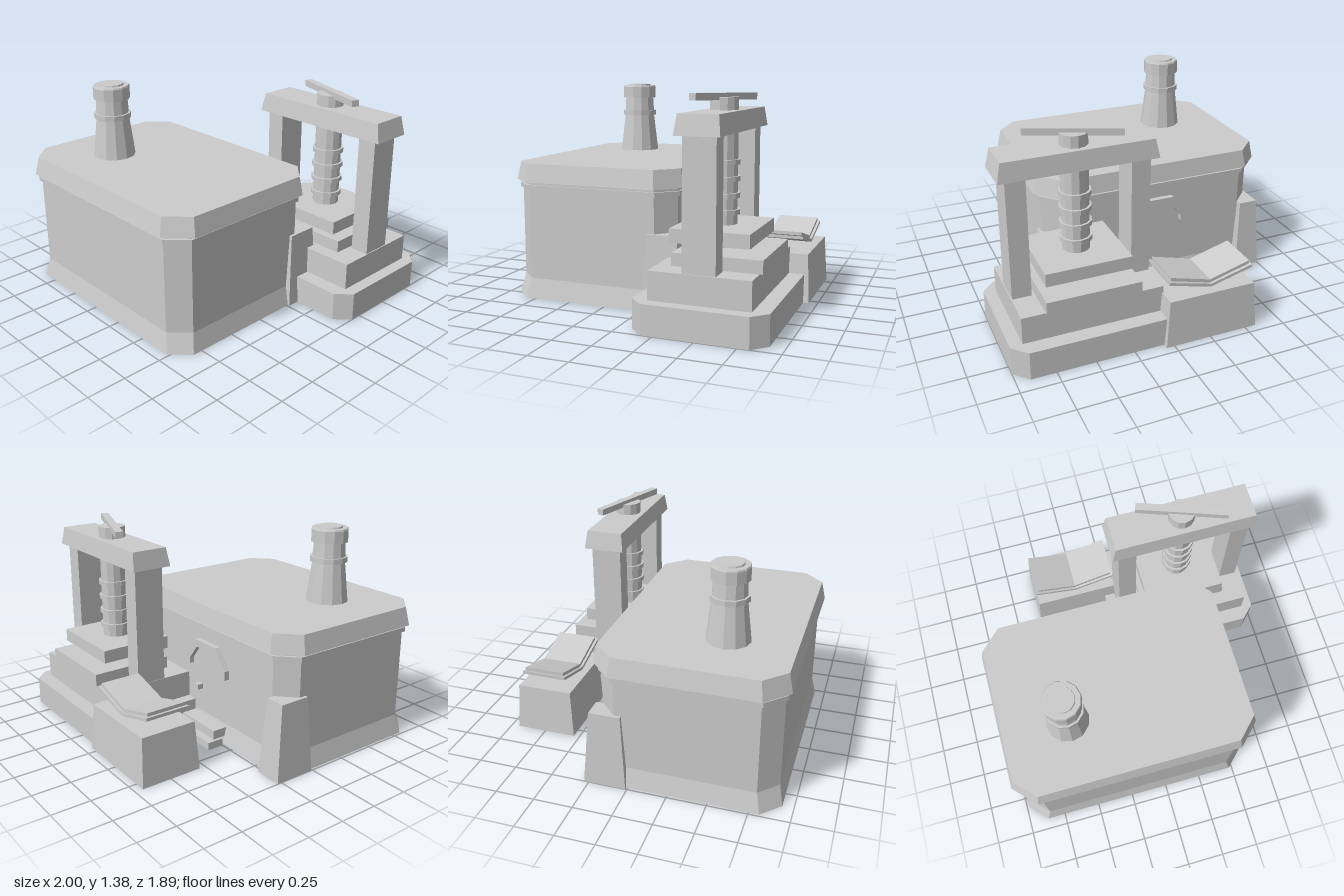
import * as THREE from 'three';

// Double-sided because several parts are open underneath
const stone = new THREE.MeshStandardMaterial({ color: 0xcccccc, side: THREE.DoubleSide });
stone.name = 'stone grey';

function add(parent, name, geometry, x = 0, y = 0, z = 0) {
  const g = geometry.index ? geometry.toNonIndexed() : geometry;
  g.computeVertexNormals();
  const mesh = new THREE.Mesh(g, stone);
  mesh.name = name;
  mesh.position.set(x, y, z);
  parent.add(mesh);
  return mesh;
}

// Rectangle outline with cut corners, counterclockwise from above
function outline([y, x0, x1, z0, z1, c = 0]) {
  const p = c
    ? [[x1 - c, z0], [x0 + c, z0], [x0, z0 + c], [x0, z1 - c],
       [x0 + c, z1], [x1 - c, z1], [x1, z1 - c], [x1, z0 + c]]
    : [[x1, z0], [x0, z0], [x0, z1], [x1, z1]];
  return p.map(([x, z]) => [x, y, z]);
}

// Solid through a list of sections [y, x0, x1, z0, z1, corner cut]
function stack(sections, { bottom = true, top = true } = {}) {
  const rings = sections.map(outline);
  const n = rings[0].length;
  const pos = [];
  const tri = (a, b, c) => pos.push(...a, ...b, ...c);
  for (let r = 0; r < rings.length - 1; r++) {
    const lo = rings[r], hi = rings[r + 1];
    for (let i = 0; i < n; i++) {
      const j = (i + 1) % n;
      tri(lo[i], lo[j], hi[j]);
      tri(lo[i], hi[j], hi[i]);
    }
  }
  const first = rings[0], last = rings[rings.length - 1];
  for (let i = 1; i < n - 1; i++) {
    if (bottom) tri(first[0], first[i + 1], first[i]);
    if (top) tri(last[0], last[i], last[i + 1]);
  }
  const g = new THREE.BufferGeometry();
  g.setAttribute('position', new THREE.Float32BufferAttribute(pos, 3));
  return g;
}

const block = (y0, y1, x0, x1, z0, z1, c = 0, caps = {}) =>
  stack([[y0, x0, x1, z0, z1, c], [y1, x0, x1, z0, z1, c]], caps);

const shapeOf = (points) => new THREE.Shape(points.map(([x, y]) => new THREE.Vector2(x, y)));
const flat = (points) => new THREE.ShapeGeometry(shapeOf(points));
const plate = (points, depth) =>
  new THREE.ExtrudeGeometry(shapeOf(points), { depth, bevelEnabled: false });

// Window panel with cut corners, centred on the origin
function windowPanel(w, h, c) {
  const a = w / 2, b = h / 2;
  return flat([[-a + c, -b], [a - c, -b], [a, -b + c], [a, b - c],
    [a - c, b], [-a + c, b], [-a, b - c], [-a, -b + c]]);
}

function createHouse() {
  const house = new THREE.Group();
  house.name = 'house';
  const openBelow = { bottom: false };
  // Open skirt below a raised floor
  add(house, 'skirt', stack([
    [0, -0.985, 0.597, -0.23, 0.93, 0.115],
    [0.13, -0.955, 0.567, -0.2, 0.905, 0.115]], { bottom: false, top: false }));
  add(house, 'walls', block(0.13, 0.78, -0.955, 0.567, -0.2, 0.905, 0.115));
  add(house, 'belt', block(0.72, 0.75, -0.97, 0.582, -0.215, 0.92, 0.12));
  add(house, 'roof', stack([
    [0.77, -1, 0.61, -0.24, 0.94, 0.14],
    [0.89, -0.975, 0.585, -0.22, 0.915, 0.13]]));

  // Rear corner buttresses
  add(house, 'leftButtress', stack([
    [0, 0.43, 0.61, -0.28, -0.01], [0.49, 0.455, 0.585, -0.24, -0.04]], openBelow));
  add(house, 'rightButtress', stack([
    [0, -1, -0.82, -0.28, -0.01], [0.49, -0.975, -0.845, -0.24, -0.04]], openBelow));

  // Side and rear windows
  for (const z of [0.55, 0.16]) {
    add(house, 'leftWindow', windowPanel(0.22, 0.25, 0.04), 0.571, 0.445, z).rotation.y = Math.PI / 2;
    add(house, 'rightWindow', windowPanel(0.22, 0.25, 0.04), -0.959, 0.445, z).rotation.y = -Math.PI / 2;
  }
  add(house, 'rearWindow', windowPanel(0.24, 0.3, 0.04), -0.675, 0.51, -0.204).rotation.y = Math.PI;

  // Rear doorway with hood, knob and steps
  const doorway = new THREE.Group();
  doorway.name = 'doorway';
  doorway.position.set(-0.21, 0, -0.2);
  doorway.rotation.y = Math.PI;
  house.add(doorway);
  add(doorway, 'door', flat([[-0.19, 0.13], [0.19, 0.13], [0.19, 0.5],
    [0.1, 0.6], [-0.1, 0.6], [-0.19, 0.5]]), 0, 0, 0.004);
  add(doorway, 'doorHood', plate([[-0.21, 0.45], [-0.17, 0.45], [-0.17, 0.49], [-0.09, 0.59],
    [0.09, 0.59], [0.17, 0.49], [0.17, 0.45], [0.21, 0.45], [0.21, 0.51],
    [0.11, 0.64], [-0.11, 0.64], [-0.21, 0.51]], 0.035));
  add(doorway, 'doorKnob', new THREE.BoxGeometry(0.045, 0.035, 0.045), -0.09, 0.31, 0.02);
  add(house, 'lowerStep', block(0, 0.05, -0.42, -0.05, -0.36, -0.25));
  add(house, 'upperStep', block(0.05, 0.11, -0.4, -0.05, -0.305, -0.2));

  // Chimney
  const profile = [[0, 0.88], [0.14, 0.88], [0.108, 1.15], [0.122, 1.15], [0.122, 1.185],
    [0.108, 1.185], [0.102, 1.28], [0.12, 1.28], [0.12, 1.36], [0.115, 1.37],
    [0.083, 1.37], [0.08, 1.38], [0, 1.38]];
  add(house, 'chimney', new THREE.LatheGeometry(
    profile.map(([r, y]) => new THREE.Vector2(r, y)), 12), -0.555, 0, 0.5);
  return house;
}

function createPress() {
  const press = new THREE.Group();
  press.name = 'screwPress';
  const openBelow = { bottom: false };
  add(press, 'pressBase', block(0, 0.185, -0.053, 1, -0.91, -0.09, 0.09, openBelow));
  add(press, 'pressStep', block(0.185, 0.36, 0.022, 0.922, -0.81, -0.19, 0, openBelow));
  add(press, 'pressBed', block(0.36, 0.44, 0.172, 0.773, -0.83, -0.28));
  add(press, 'pressPlate', block(0.49, 0.575, 0.2, 0.747, -0.745, -0.255));
  for (const x of [0.086, 0.855]) {
    add(press, 'post', block(0.36, 1.15, x - 0.061, x + 0.061, -0.6, -0.4));
  }
  add(press, 'beam', stack([
    [1.135, -0.02, 0.964, -0.635, -0.365], [1.255, 0.005, 0.94, -0.62, -0.38]]));

  // Screw, thread rings and turning bar
  add(press, 'screw', new THREE.CylinderGeometry(0.087, 0.087, 0.89, 12), 0.472, 0.885, -0.5);
  for (const y of [0.65, 0.75, 0.85, 0.95]) {
    add(press, 'threadRing', new THREE.CylinderGeometry(0.102, 0.102, 0.03, 12), 0.472, y, -0.5);
  }
  const bar = add(press, 'turningBar', new THREE.BoxGeometry(0.59, 0.042, 0.05), 0.472, 1.333, -0.5);
  bar.rotation.set(0, -0.35, 0.018);
  return press;
}

function createBookStand() {
  const stand = new THREE.Group();
  stand.name = 'bookStand';
  add(stand, 'pedestal', stack([
    [0, -0.573, 0.053, -0.947, -0.54], [0.315, -0.55, 0.03, -0.93, -0.56]], { bottom: false }));
  // Open book: cover and pages folded at the spine
  const fold = (w, y, t) => [[-w, y + 0.075], [0, y], [w, y + 0.075],
    [w, y + 0.075 + t], [0, y + t], [-w, y + 0.075 + t]];
  add(stand, 'bookCover', plate(fold(0.285, 0.335, 0.02), 0.3), -0.263, 0, -0.893);
  add(stand, 'bookPages', plate(fold(0.27, 0.356, 0.022), 0.27), -0.263, 0, -0.878);
  return stand;
}

export function createModel() {
  const model = new THREE.Group();
  model.name = 'pressHouse';
  model.add(createHouse(), createPress(), createBookStand());
  return model;
}
